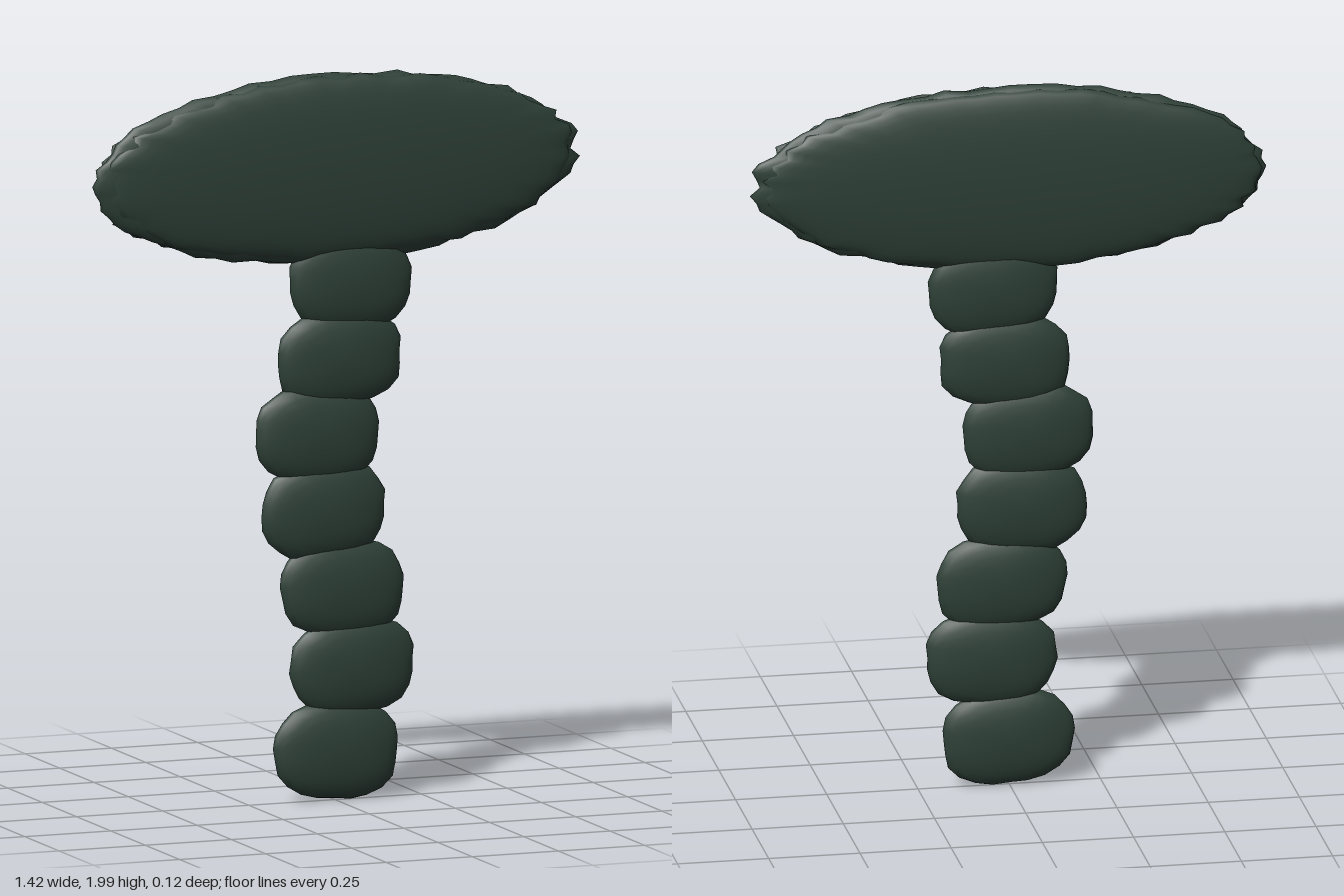
import * as THREE from 'three';
import { mergeVertices } from 'three/addons/utils/BufferGeometryUtils.js';

const bark = new THREE.MeshStandardMaterial({ color: 0x2e4038 });
bark.name = 'dark green';

// Small seeded random generator
function seeded(seed) {
  let s = seed;
  return () => (s = (s * 16807) % 2147483647) / 2147483647;
}

// Flattened pebble: poles face front and back, the rim is boxy and ragged
function pebble({ rx, ry, rz, squareness, roughness, segments, rings, seed }) {
  const random = seeded(seed);
  const rim = Array.from({ length: segments }, () => (random() - 0.5) * 2 * roughness);
  let geometry = new THREE.SphereGeometry(1, segments, rings).rotateX(Math.PI / 2);
  geometry.deleteAttribute('uv');
  geometry.deleteAttribute('normal');
  geometry = mergeVertices(geometry, 1e-4);
  const p = geometry.attributes.position;
  for (let i = 0; i < p.count; i++) {
    const x = p.getX(i), y = p.getY(i), z = p.getZ(i);
    const r = Math.hypot(x, y);
    const a = Math.atan2(y, x);
    const step = (Math.round((a / (2 * Math.PI)) * segments) + segments) % segments;
    const c = Math.cos(a), s = Math.sin(a);
    const box = Math.pow(Math.abs(c) ** squareness + Math.abs(s) ** squareness, -1 / squareness);
    const k = r * box * (1 + rim[step] * r ** 6);
    p.setXYZ(i, c * k * rx, s * k * ry, z * rz);
  }
  geometry.computeVertexNormals();
  return geometry;
}

export function createModel() {
  const model = new THREE.Group();
  model.name = 'mushroomTree';

  const add = (parent, name, options, x, y, z = 0, tilt = 0) => {
    const mesh = new THREE.Mesh(pebble(options), bark);
    mesh.name = name;
    mesh.position.set(x, y, z);
    mesh.rotation.z = tilt;
    parent.add(mesh);
  };

  // Stalk of stacked, swaying segments
  const stalk = new THREE.Group();
  stalk.name = 'stalk';
  const centres = [
    [0.005, 0.145], [0.05, 0.37], [0.022, 0.585], [-0.033, 0.8],
    [-0.05, 1.01], [0.012, 1.215], [0.045, 1.425],
  ];
  centres.forEach(([x, y], i) => {
    add(stalk, `stalkSegment${i + 1}`, {
      rx: 0.18, ry: 0.135, rz: 0.046, squareness: 2.5,
      roughness: 0.03, segments: 24, rings: 14, seed: 71 + i * 977,
    }, x, y, 0, i % 2 ? 0.06 : -0.06);
  });
  model.add(stalk);

  // Cap of overlapping ragged layers
  const cap = new THREE.Group();
  cap.name = 'cap';
  const layers = [
    [0.7, 0.258, 0.058, 0, 1.736, 0],
    [0.675, 0.25, 0.05, 0.012, 1.738, 0.012],
    [0.68, 0.25, 0.05, -0.012, 1.734, -0.013],
  ];
  layers.forEach(([rx, ry, rz, x, y, z], i) => {
    add(cap, `capLayer${i + 1}`, {
      rx, ry, rz, squareness: 2.03,
      roughness: 0.025, segments: 72, rings: 24, seed: 4321 + i * 1511,
    }, x, y, z, 0.015);
  });
  model.add(cap);

  return model;
}
